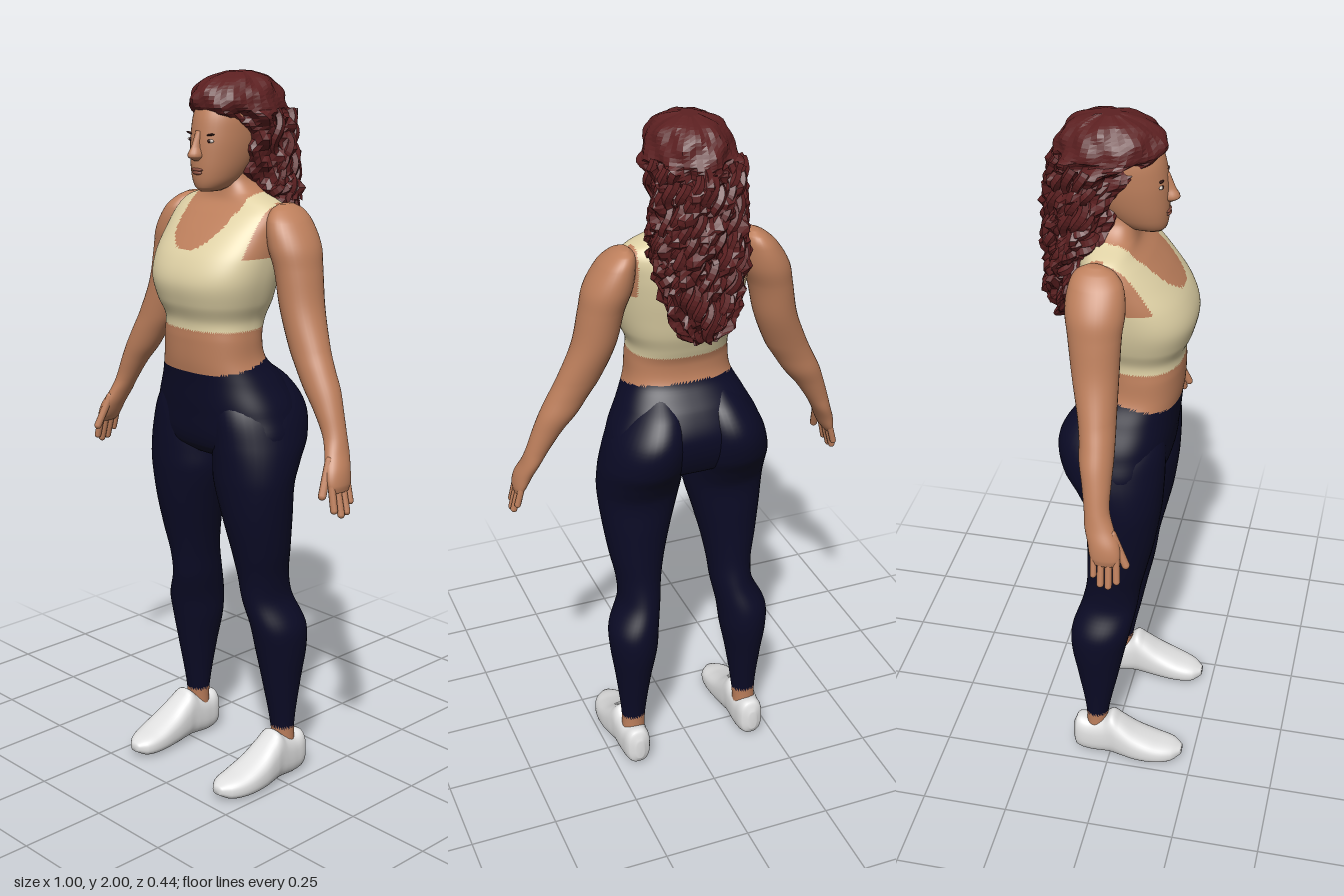
import * as THREE from 'three';

const mat = (name, color) => Object.assign(new THREE.MeshStandardMaterial({ color }), { name });
const skin = mat('skin', 0xbd7f5c), leggings = mat('leggings', 0x0b0b26), top = mat('cream top', 0xe0d2a6);
const hair = mat('auburn hair', 0x5c2021), shoe = mat('white shoe', 0xe2e2e2);
const lip = mat('lips', 0x8c4f3f), dark = mat('brow', 0x351a17), eyeWhite = mat('eye white', 0xd8ccc4);

// Smooth surface through cross-sections [y, centreX, radiusX, frontZ, backZ]
function loft(sections, { side = 1, seg = 32, sub = 6, n = 2, warp } = {}) {
  const slope = (i, k) => {
    const a = sections[Math.max(i - 1, 0)], b = sections[Math.min(i + 1, sections.length - 1)];
    return (b[k] - a[k]) / (b[0] - a[0]);
  };
  const rows = [];
  for (let i = 0; i < sections.length - 1; i++) {
    const a = sections[i], b = sections[i + 1], h = b[0] - a[0];
    for (let s = 0; s < sub; s++) {
      const t = s / sub, t2 = t * t, t3 = t2 * t;
      rows.push(a.map((v, k) => k === 0 ? v + h * t :
        v * (2 * t3 - 3 * t2 + 1) + slope(i, k) * h * (t3 - 2 * t2 + t) +
        b[k] * (3 * t2 - 2 * t3) + slope(i + 1, k) * h * (t3 - t2)));
    }
  }
  rows.push(sections[sections.length - 1]);
  const pos = [], idx = [];
  const bend = c => Math.sign(c) * Math.abs(c) ** (2 / n);
  for (const [y, xc, rx, zf, zb] of rows) {
    for (let i = 0; i < seg; i++) {
      const a = i / seg * Math.PI * 2;
      let p = [xc * side + rx * bend(Math.cos(a)), y, (zf + zb) / 2 + (zf - zb) / 2 * bend(Math.sin(a))];
      if (warp) p = warp(p, a, y);
      pos.push(...p);
    }
  }
  for (let j = 0; j < rows.length - 1; j++) for (let i = 0; i < seg; i++) {
    const a = j * seg + i, b = j * seg + (i + 1) % seg;
    idx.push(a, a + seg, b, b, a + seg, b + seg);
  }
  // End caps
  const last = (rows.length - 1) * seg, c = rows.length * seg;
  for (const r of [rows[0], rows[rows.length - 1]]) pos.push(r[1] * side, r[0], (r[3] + r[4]) / 2);
  for (let i = 0; i < seg; i++) {
    const k = (i + 1) % seg;
    idx.push(c, i, k, c + 1, last + k, last + i);
  }
  const g = new THREE.BufferGeometry();
  g.setAttribute('position', new THREE.Float32BufferAttribute(pos, 3));
  g.setIndex(idx);
  g.computeVertexNormals();
  return g;
}

// Sorts faces into material groups by a rule on the face centre
function paint(g, count, rule) {
  const bins = Array.from({ length: count }, () => []), p = g.attributes.position, ix = g.index.array;
  for (let i = 0; i < ix.length; i += 3) {
    const f = [ix[i], ix[i + 1], ix[i + 2]];
    const mid = k => f.reduce((s, v) => s + p.getComponent(v, k), 0) / 3;
    bins[rule(mid(0), mid(1), mid(2))].push(...f);
  }
  g.setIndex(bins.flat());
  let start = 0;
  bins.forEach((b, m) => { g.addGroup(start, b.length, m); start += b.length; });
  return g;
}

// 0 skin, 1 leggings, 2 cropped top
function bodyColour(x, y, z) {
  const ax = Math.abs(x);
  if (y < 1.24 - 0.2 * z) return 1;
  if (y < 1.328 || y > 1.685) return 0;
  const front = z > -0.02;
  if (front && (ax / 0.092) ** 2 + ((y - 1.64) / 0.1) ** 2 < 1) return 0;
  if (front && y > 1.64 && ax < 0.098) return 0;
  if (!front && y > 1.6 && ax < 0.075) return 0;
  if (y > 1.53 && ax > (front ? 0.165 : 0.152)) return 0;
  return 2;
}

export function createModel() {
  const model = new THREE.Group();
  const add = (name, geo, material) => {
    const m = new THREE.Mesh(geo, material);
    m.name = name;
    model.add(m);
    return m;
  };

  // Hips, torso and neck
  const torso = loft([
    [0.965, 0, 0.12, 0.09, -0.06], [1.0, 0, 0.225, 0.132, -0.11], [1.1, 0, 0.218, 0.15, -0.14],
    [1.18, 0, 0.18, 0.158, -0.11], [1.24, 0, 0.151, 0.166, -0.06], [1.3, 0, 0.144, 0.168, -0.05],
    [1.35, 0, 0.142, 0.168, -0.065], [1.4, 0, 0.162, 0.188, -0.083], [1.46, 0, 0.178, 0.199, -0.095],
    [1.52, 0, 0.185, 0.178, -0.105], [1.58, 0, 0.186, 0.132, -0.11], [1.63, 0, 0.183, 0.083, -0.105],
    [1.66, 0, 0.16, 0.05, -0.09], [1.685, 0, 0.095, 0.04, -0.08], [1.72, 0, 0.06, 0.037, -0.07],
    [1.78, 0, 0.055, 0.04, -0.065]], { seg: 128, sub: 8, n: 2.35 });
  add('torso', paint(torso, 3, bodyColour), [skin, leggings, top]);

  // Head and nose
  add('head', loft([
    [1.69, 0, 0.02, 0.1, 0.03], [1.702, 0, 0.04, 0.111, 0], [1.73, 0, 0.058, 0.117, -0.04],
    [1.78, 0, 0.072, 0.118, -0.08], [1.84, 0, 0.078, 0.114, -0.1], [1.9, 0, 0.074, 0.1, -0.1],
    [1.95, 0, 0.05, 0.065, -0.08], [1.97, 0, 0.02, 0.02, -0.04]], { seg: 40, n: 2.1 }), skin);
  add('nose', loft([
    [1.772, 0, 0.008, 0.124, 0.1], [1.785, 0, 0.019, 0.144, 0.095], [1.81, 0, 0.012, 0.133, 0.095],
    [1.85, 0, 0.01, 0.116, 0.095]], { seg: 16 }), skin);

  // Mouth, eyes and brows
  const blob = (name, material, p, s) => {
    const m = add(name, new THREE.SphereGeometry(1, 16, 10), material);
    m.position.set(...p);
    m.scale.set(...s);
    return m;
  };
  blob('upperLip', lip, [0, 1.749, 0.115], [0.022, 0.005, 0.007]);
  blob('lowerLip', lip, [0, 1.741, 0.115], [0.018, 0.006, 0.008]);

  for (const s of [1, -1]) {
    const side = s > 0 ? 'left' : 'right';
    blob(side + 'Eye', eyeWhite, [s * 0.036, 1.825, 0.102], [0.014, 0.005, 0.005]);
    blob(side + 'Iris', dark, [s * 0.036, 1.825, 0.105], [0.005, 0.005, 0.004]);
    blob(side + 'Brow', dark, [s * 0.037, 1.841, 0.103], [0.018, 0.003, 0.005]).rotation.z = s * 0.15;

    // Leg with ankle showing below the hem
    const leg = loft([
      [0.08, 0.183, 0.034, -0.015, -0.075], [0.16, 0.18, 0.036, -0.008, -0.076], [0.3, 0.177, 0.053, 0.02, -0.1],
      [0.4, 0.174, 0.069, 0.04, -0.118], [0.47, 0.17, 0.072, 0.055, -0.117], [0.55, 0.146, 0.061, 0.07, -0.092],
      [0.62, 0.142, 0.065, 0.08, -0.078], [0.7, 0.142, 0.08, 0.098, -0.075], [0.8, 0.137, 0.1, 0.12, -0.076],
      [0.9, 0.129, 0.119, 0.134, -0.08], [0.96, 0.127, 0.122, 0.138, -0.108], [1.02, 0.122, 0.12, 0.14, -0.145],
      [1.1, 0.11, 0.107, 0.138, -0.157], [1.17, 0.09, 0.08, 0.12, -0.122], [1.22, 0.08, 0.04, 0.08, -0.06]],
      { side: s, seg: 40 });
    add(side + 'Leg', paint(leg, 2, (x, y) => y < 0.152 ? 0 : 1), [skin, leggings]);

    // Shoe, lofted heel to toe and laid flat: columns 4 and 5 are -bottom and -top
    add(side + 'Shoe', loft([
      [-0.115, 0.185, 0.012, -0.03, -0.09], [-0.102, 0.185, 0.034, -0.008, -0.122], [-0.06, 0.185, 0.042, 0, -0.122],
      [-0.02, 0.186, 0.045, -0.003, -0.135], [0.005, 0.187, 0.047, -0.004, -0.153], [0.03, 0.188, 0.051, -0.003, -0.135],
      [0.08, 0.189, 0.056, 0, -0.1], [0.14, 0.186, 0.055, 0, -0.073], [0.19, 0.181, 0.042, -0.006, -0.058],
      [0.218, 0.179, 0.016, -0.022, -0.045]], { side: s, seg: 36, n: 2.6 }).rotateX(Math.PI / 2), shoe);

    // Arm and palm
    add(side + 'Arm', loft([
      [0.955, 0.474, 0.01, 0.08, 0.02], [0.975, 0.468, 0.019, 0.09, 0.01], [1.01, 0.456, 0.025, 0.085, 0.002],
      [1.05, 0.438, 0.027, 0.066, -0.01], [1.09, 0.42, 0.032, 0.052, -0.015], [1.15, 0.39, 0.042, 0.05, -0.027],
      [1.2, 0.36, 0.053, 0.05, -0.04], [1.25, 0.331, 0.057, 0.048, -0.046], [1.3, 0.303, 0.06, 0.045, -0.056],
      [1.4, 0.262, 0.06, 0.043, -0.08], [1.5, 0.24, 0.061, 0.045, -0.095], [1.56, 0.222, 0.065, 0.05, -0.105],
      [1.62, 0.2, 0.05, 0.04, -0.1], [1.65, 0.186, 0.032, 0.015, -0.085], [1.664, 0.18, 0.012, -0.015, -0.06]],
      { side: s, seg: 32 }), skin);

    // Fingers and thumb: base, tip, radius
    const fingers = [
      [[0.467, 0.985, 0.02], [0.483, 0.925, 0.022], 0.009], [[0.468, 0.98, 0.04], [0.489, 0.902, 0.042], 0.01],
      [[0.468, 0.98, 0.06], [0.489, 0.898, 0.063], 0.01], [[0.466, 0.985, 0.079], [0.483, 0.912, 0.084], 0.01],
      [[0.445, 1.035, 0.065], [0.458, 0.95, 0.103], 0.011]];
    fingers.forEach(([a, b, r], i) => {
      const p = new THREE.Vector3(a[0] * s, a[1], a[2]), q = new THREE.Vector3(b[0] * s, b[1], b[2]);
      const f = add(side + (i < 4 ? 'Finger' + (i + 1) : 'Thumb'),
        new THREE.CapsuleGeometry(r, p.distanceTo(q), 5, 10), skin);
      f.position.copy(p).lerp(q, 0.5);
      f.quaternion.setFromUnitVectors(new THREE.Vector3(0, 1, 0), q.sub(p).normalize());
    });
  }

  // Wavy faceted hair mass, rougher towards the ends
  const mass = loft([
    [1.42, 0, 0.03, -0.14, -0.17], [1.46, 0, 0.075, -0.115, -0.182], [1.52, 0, 0.1, -0.085, -0.192],
    [1.6, 0, 0.117, -0.05, -0.2], [1.66, 0, 0.125, -0.025, -0.205], [1.72, 0, 0.122, -0.012, -0.203],
    [1.78, 0, 0.119, 0.008, -0.2], [1.84, 0, 0.118, 0.035, -0.193], [1.88, 0, 0.118, 0.066, -0.184],
    [1.91, 0, 0.114, 0.107, -0.175], [1.95, 0, 0.1, 0.1, -0.158], [1.982, 0, 0.07, 0.055, -0.125],
    [1.998, 0, 0.025, -0.005, -0.07]], {
    seg: 44, sub: 4, warp: ([x, y, z], a) => {
      const rough = y > 1.9 ? 0.004 : 0.011;
      const d = rough * (Math.sin(7 * a + 40 * y) + 0.7 * Math.sin(11 * a - 75 * y + 1) + 0.5 * Math.sin(5 * a + 110 * y));
      return [x + d * Math.cos(a), y, z + d * Math.sin(a)];
    }
  }).toNonIndexed();
  mass.computeVertexNormals();
  add('hairMass', mass, hair);

  // Hanging ringlets around the sides and back
  let seed = 7;
  const rnd = () => (seed = (seed * 16807) % 2147483647) / 2147483647;
  for (let i = 0; i < 46; i++) {
    const a = Math.PI * (0.97 + 1.06 * (i % 23) / 22), across = Math.abs(Math.cos(a));
    const y0 = (i < 23 ? 1.84 : 1.68) + rnd() * 0.06;
    const y1 = Math.max(i < 23 ? 1.62 : 1.44 + 0.18 * across ** 2, 1.44) + rnd() * 0.06;
    const phase = rnd() * 6.28, pts = [];
    for (let k = 0; k <= 20; k++) {
      const t = k / 20, y = y0 + (y1 - y0) * t, w = phase + t * 13;
      const r = y > 1.6 ? 1 : 1 - (1.6 - y) * 2;
      pts.push(new THREE.Vector3(0.113 * r * Math.cos(a) + 0.011 * Math.cos(w), y,
        -0.075 - 0.02 * t + 0.105 * Math.sin(a) + 0.011 * Math.sin(w)));
    }
    const g = new THREE.TubeGeometry(new THREE.CatmullRomCurve3(pts), 26, 0.012 + rnd() * 0.004, 5).toNonIndexed();
    g.computeVertexNormals();
    add('ringlet' + (i + 1), g, hair);
  }
  return model;
}
